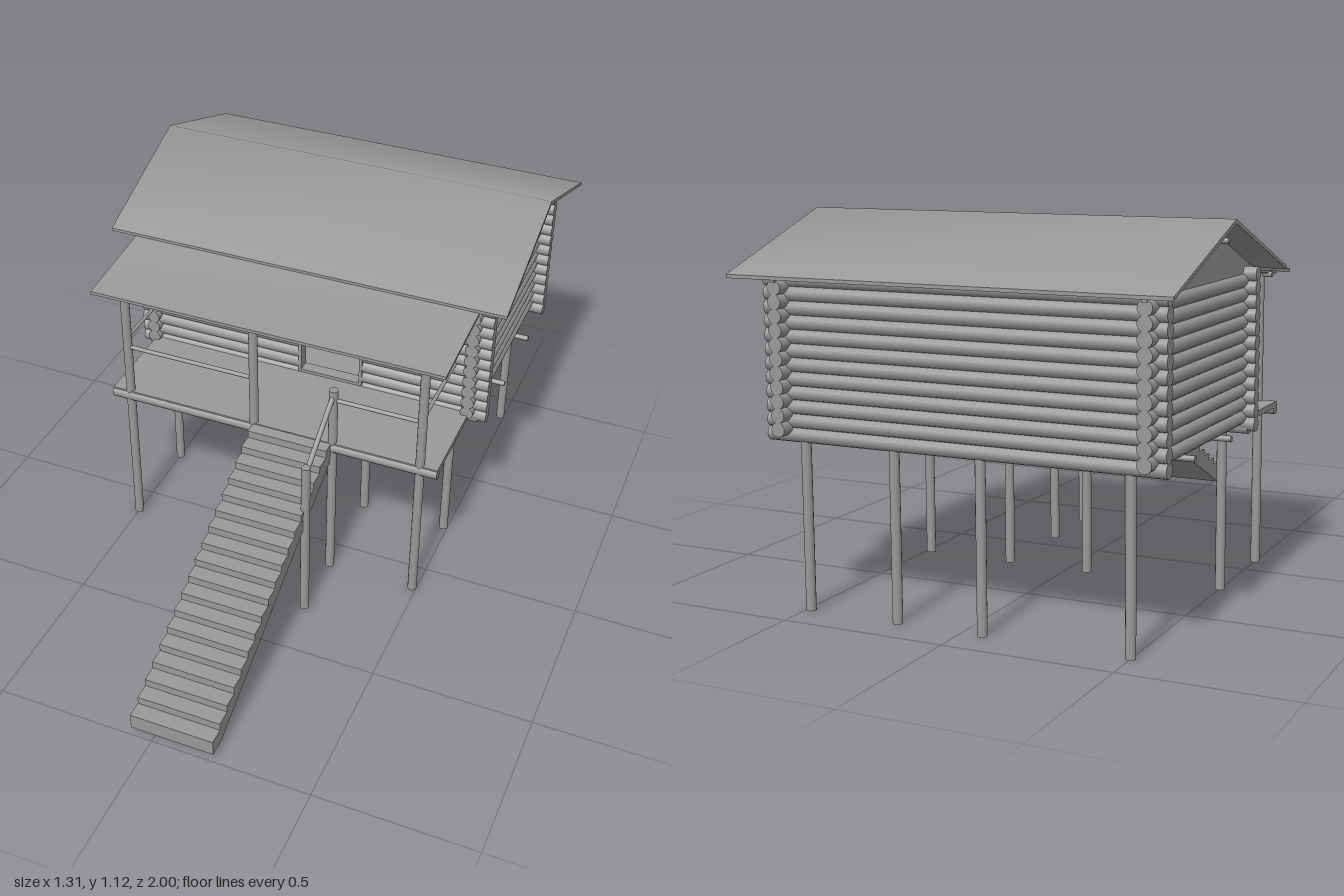
import * as THREE from 'three';
import { toCreasedNormals } from 'three/addons/utils/BufferGeometryUtils.js';

const mat = new THREE.MeshStandardMaterial({ color: 0x999999 });

export function createModel() {
  const model = new THREE.Group();
  const group = (name) => {
    const g = new THREE.Group();
    g.name = name;
    model.add(g);
    return g;
  };
  const add = (parent, name, geometry) => {
    const m = new THREE.Mesh(geometry, mat);
    m.name = name;
    parent.add(m);
    return m;
  };
  // Round log between two points
  const log = (parent, name, a, b, r, sides = 14) => {
    const from = new THREE.Vector3(...a), to = new THREE.Vector3(...b);
    const dir = to.clone().sub(from);
    const m = add(parent, name, new THREE.CylinderGeometry(r, r, dir.length(), sides));
    m.position.copy(from).add(to).multiplyScalar(0.5);
    m.quaternion.setFromUnitVectors(new THREE.Vector3(0, 1, 0), dir.normalize());
    return m;
  };
  // Box given by its min and max on each axis
  const box = (parent, name, x0, x1, y0, y1, z0, z1) => {
    const m = add(parent, name, new THREE.BoxGeometry(x1 - x0, y1 - y0, z1 - z0));
    m.position.set((x0 + x1) / 2, (y0 + y1) / 2, (z0 + z1) / 2);
    return m;
  };
  // [z, y] outline extruded along x
  const profile = (points, x0, x1) => {
    const shape = new THREE.Shape(points.map(([z, y]) => new THREE.Vector2(-z, y)));
    const g = new THREE.ExtrudeGeometry(shape, { depth: x1 - x0, bevelEnabled: false });
    g.rotateY(Math.PI / 2);
    g.translate(x0, 0, 0);
    return g;
  };

  const wallX = [-0.557, 0.541], frontZ = -0.223, backZ = -0.891, porchZ = 0.098;
  const postX = [-0.5, -0.065, 0.2, 0.486];
  const pitch = 0.0395, logR = 0.0215, postR = 0.0145;
  const windowHole = { x0: -0.458, x1: -0.182, y0: 0.69, y1: 0.905 };
  const doorHole = { x0: -0.033, x1: 0.177, y0: 0.52, y1: 0.905 };

  // Log walls, with the front courses cut around the window and door
  const walls = group('logWalls');
  for (let i = 0; i < 12; i++) {
    const y = 0.506 + i * pitch;
    log(walls, 'backLog', [-0.604, y, backZ], [0.6, y, backZ], logR);
    let start = -0.604;
    for (const h of [windowHole, doorHole]) {
      if (y > h.y0 && y < h.y1) {
        log(walls, 'frontLog', [start, y, frontZ], [h.x0, y, frontZ], logR);
        start = h.x1;
      }
    }
    log(walls, 'frontLog', [start, y, frontZ], [0.6, y, frontZ], logR);
    if (i < 11) {
      for (const x of wallX) {
        log(walls, 'sideLog', [x, y + pitch / 2, -0.945], [x, y + pitch / 2, -0.185], logR);
      }
    }
  }

  // Gables
  const gable = [[-0.95, 0.935], [-0.175, 0.935], [-0.175, 0.96], [-0.56, 1.104], [-0.95, 0.96]];
  for (const x of wallX) add(walls, 'gable', profile(gable, x - 0.008, x + 0.008));

  // Window frame and mullions
  const win = group('window');
  const t = 0.005;
  for (let i = 0; i < 5; i++) {
    const x = -0.455 + i * 0.068;
    box(win, 'windowBar', x - t, x + t, 0.69, 0.9, -0.212, -0.202);
  }
  for (const y of [0.69, 0.897]) box(win, 'windowRail', -0.46, -0.178, y - t, y + t, -0.215, -0.198);

  // Door frame
  const door = group('doorFrame');
  for (const x of [doorHole.x0, doorHole.x1]) box(door, 'doorJamb', x - t, x + t, 0.52, 0.908, -0.24, -0.2);
  box(door, 'doorHead', doorHole.x0, doorHole.x1, 0.9, 0.91, -0.24, -0.2);
  box(door, 'doorSill', doorHole.x0, doorHole.x1, 0.518, 0.528, -0.24, -0.2);

  // Floors and the beams beneath them
  const floor = group('floor');
  box(floor, 'houseFloor', -0.557, 0.541, 0.505, 0.515, backZ, frontZ);
  box(floor, 'porchDeck', -0.557, 0.545, 0.497, 0.515, frontZ, porchZ + 0.012);
  log(floor, 'porchBeam', [-0.557, 0.495, porchZ], [0.545, 0.495, porchZ], 0.019);
  log(floor, 'wallBeam', [-0.583, 0.495, frontZ], [0.573, 0.495, frontZ], 0.019);
  for (const z of [-0.42, -0.7]) log(floor, 'floorBeam', [-0.6, 0.499, z], [0.6, 0.499, z], 0.009, 10);
  for (const x of postX) log(floor, 'joist', [x, 0.503, backZ], [x, 0.503, porchZ], 0.007, 10);

  // Posts: the porch row carries the porch roof, except the one by the stairs
  const posts = group('posts');
  postX.forEach((x, i) => {
    for (const z of [frontZ, backZ]) log(posts, 'post', [x, 0, z], [x, 0.505, z], postR);
    log(posts, 'porchPost', [x, 0, porchZ], [x, i === 2 ? 0.712 : 0.915, porchZ], postR);
  });

  // Porch railings
  const rails = group('railings');
  log(rails, 'frontRail', [postX[0], 0.682, porchZ], [postX[1], 0.682, porchZ], 0.007, 10);
  log(rails, 'frontRail', [postX[2], 0.675, porchZ], [postX[3], 0.675, porchZ], 0.007, 10);
  log(rails, 'sideRail', [postX[0], 0.716, porchZ], [postX[0], 0.716, frontZ], 0.006, 10);
  log(rails, 'sideRail', [postX[3], 0.687, porchZ], [postX[3], 0.687, frontZ], 0.006, 10);

  // Stairs with one handrail
  const stairs = group('stairs');
  const steps = 18, z0 = 1, run = 0.9 / steps, rise = (0.512 - 0.083) / (steps - 1);
  const outline = [[z0, 0.032]];
  for (let i = 0; i < steps; i++) {
    outline.push([z0 - i * run, 0.083 + i * rise], [z0 - (i + 1) * run, 0.083 + i * rise]);
  }
  outline.push([0.1, 0.452], [0.945, 0.032]);
  add(stairs, 'stairFlight', profile(outline, -0.064, 0.199));
  log(stairs, 'handrailPost', [0.2, 0.005, 0.317], [0.2, 0.575, 0.317], postR);
  log(stairs, 'handrail', [0.2, 0.693, porchZ], [0.2, 0.549, 0.317], 0.008, 10);

  // Roof slopes are shaded smoothly over the ridge and sharp at the edges
  const roof = group('roof');
  const slopes = (name, points, halfWidth) =>
    add(roof, name, toCreasedNormals(profile(points, -halfWidth, halfWidth), Math.PI / 4));

  // Main roof and its purlins
  slopes('mainRoof', [[-0.125, 0.948], [-0.125, 0.958], [-0.56, 1.117], [-1, 0.958], [-1, 0.948], [-0.56, 1.105]], 0.655);
  for (const [z, y] of [[-0.42, 1.048], [-0.56, 1.098], [-0.7, 1.048]]) {
    log(roof, 'purlin', [-0.585, y, z], [0.585, y, z], 0.009, 10);
  }

  // Porch roof on its beam, with rafters
  slopes('porchRoof', [[0.18, 0.91], [0.18, 0.92], [-0.12, 0.948], [-0.2, 0.966], [-0.2, 0.956], [-0.12, 0.938]], 0.57);
  log(roof, 'porchRoofBeam', [-0.54, 0.907, porchZ], [0.56, 0.907, porchZ], 0.009, 10);
  for (const x of [-0.525, -0.28, -0.012, 0.265, 0.541]) {
    log(roof, 'porchRafter', [x, 0.908, 0.17], [x, 0.936, -0.11], 0.006, 8);
    log(roof, 'backRafter', [x, 0.957, -0.965], [x, 1.097, -0.57], 0.006, 8);
  }

  return model;
}
